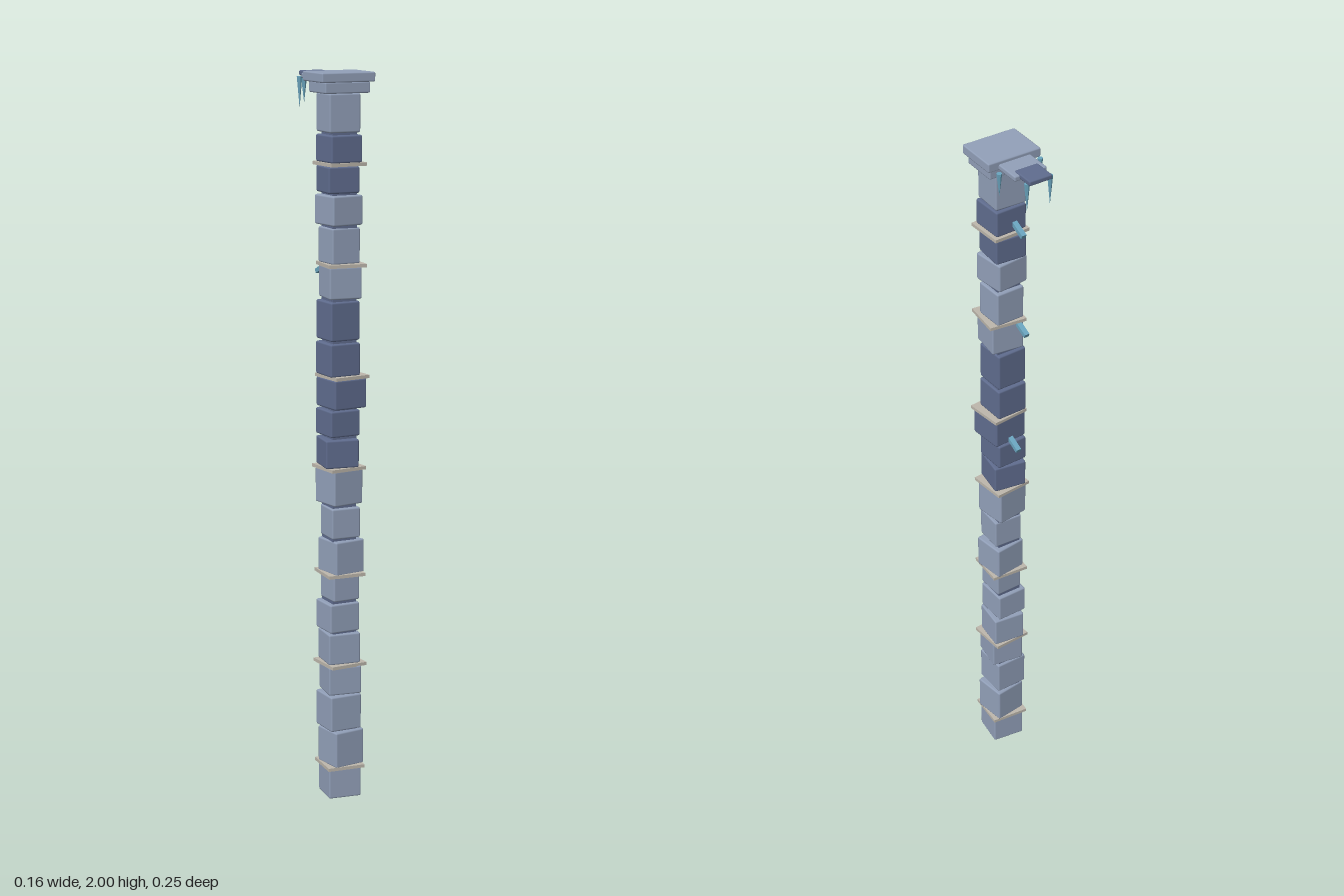
import * as THREE from 'three';
import { RoundedBoxGeometry } from 'three/addons/geometries/RoundedBoxGeometry.js';

const mat = (name, color) => new THREE.MeshStandardMaterial({ name, color });

export function createModel() {
  const group = new THREE.Group();
  const stone = mat('paleStone', 0x92a0b9);
  const dark = mat('darkStone', 0x606d8f);
  const trim = mat('mortar', 0xbdb7ac);
  const ice = mat('ice', 0x6ba6c0);

  const add = (name, geometry, material, x, y, z) => {
    const mesh = new THREE.Mesh(geometry, material);
    mesh.name = name;
    mesh.position.set(x, y, z);
    group.add(mesh);
    return mesh;
  };
  // Bevelled slab given by its extents
  const slab = (name, material, x0, x1, y0, y1, z0, z1, r = 0.004) =>
    add(name, new RoundedBoxGeometry(x1 - x0, y1 - y0, z1 - z0, 1, r), material,
      (x0 + x1) / 2, (y0 + y1) / 2, (z0 + z1) / 2);

  // Stacked blocks: bottom, top, centre x, centre z, size, yaw
  const blocks = [
    [0, 0.087, 0, 0.06, 0.094, -0.12],
    [0.09, 0.192, 0.003, 0.06, 0.092, 0.14],
    [0.197, 0.297, -0.005, 0.062, 0.094, 0.03],
    [0.3, 0.38, 0, 0.062, 0.094, -0.14],
    [0.385, 0.472, 0, 0.055, 0.092, -0.1],
    [0.477, 0.558, -0.005, 0.056, 0.09, 0.03],
    [0.565, 0.637, 0, 0.06, 0.08, 0.04],
    [0.64, 0.735, 0.004, 0.058, 0.092, 0.14],
    [0.742, 0.827, 0, 0.061, 0.084, -0.04],
    [0.835, 0.933, -0.002, 0.057, 0.094, 0.16],
    [0.94, 1.018, -0.008, 0.06, 0.094, -0.14],
    [1.025, 1.097, -0.005, 0.056, 0.09, 0.05],
    [1.102, 1.183, 0.003, 0.061, 0.1, 0.1],
    [1.19, 1.28, -0.005, 0.056, 0.09, 0.04],
    [1.287, 1.393, -0.005, 0.056, 0.088, 0.05],
    [1.4, 1.487, 0, 0.06, 0.092, -0.11],
    [1.493, 1.59, 0, 0.053, 0.084, 0.04],
    [1.597, 1.677, -0.005, 0.06, 0.094, 0.13],
    [1.682, 1.753, -0.004, 0.053, 0.09, -0.05],
    [1.763, 1.836, -0.004, 0.06, 0.093, 0.04],
    [1.842, 1.945, -0.004, 0.056, 0.09, -0.03],
  ];
  const darkBlocks = [10, 11, 12, 13, 14, 18, 19];
  blocks.forEach(([y0, y1, x, z, s, yaw], i) => {
    const mesh = add('block', new RoundedBoxGeometry(s, y1 - y0, s, 1, 0.005),
      darkBlocks.includes(i) ? dark : stone, x, (y0 + y1) / 2, z);
    mesh.rotation.y = yaw;
  });

  // Hidden core closing the joints
  add('core', new THREE.BoxGeometry(0.07, 1.93, 0.07), dark, -0.002, 0.975, 0.057);

  // Thin mortar courses: height, centre x, yaw
  [[0.088, 0, -0.08], [0.382, 0, 0.07], [0.639, 0, -0.06], [0.936, -0.003, 0.1],
    [1.187, 0.006, 0.12], [1.49, 0.003, -0.1], [1.759, -0.002, 0.05]].forEach(([y, x, yaw]) => {
    add('mortarCourse', new THREE.BoxGeometry(0.107, 0.009, 0.107), trim, x, y, 0.06).rotation.y = yaw;
  });

  // Capital and the ledge stepping out behind it
  slab('capitalBase', stone, -0.066, 0.066, 1.945, 1.975, 0.003, 0.106);
  slab('capitalTop', stone, -0.078, 0.078, 1.974, 2, -0.01, 0.112);
  slab('ledge', stone, -0.048, 0.048, 1.976, 1.991, -0.083, 0.005);
  slab('ledgeTip', dark, -0.034, 0.034, 1.981, 1.995, -0.128, -0.06);

  // Hanging icicles: x, z, length
  [[-0.067, -0.023, 0.065], [0.06, -0.031, 0.065], [-0.042, -0.105, 0.085],
    [0.03, -0.11, 0.08]].forEach(([x, z, h]) => {
    const geometry = new THREE.ConeGeometry(0.0075, h, 6).rotateX(Math.PI);
    add('icicle', geometry.toNonIndexed(), ice, x, 1.98 - h / 2, z).geometry.computeVertexNormals();
  });

  // Ice pegs sticking out of the back
  [[-0.015, 1.779], [-0.025, 1.472], [0, 1.105]].forEach(([x, y]) => {
    const peg = add('icePeg', new THREE.BoxGeometry(0.014, 0.012, 0.05), ice, x, y, -0.006);
    peg.rotation.x = -0.4;
  });
  return group;
}
